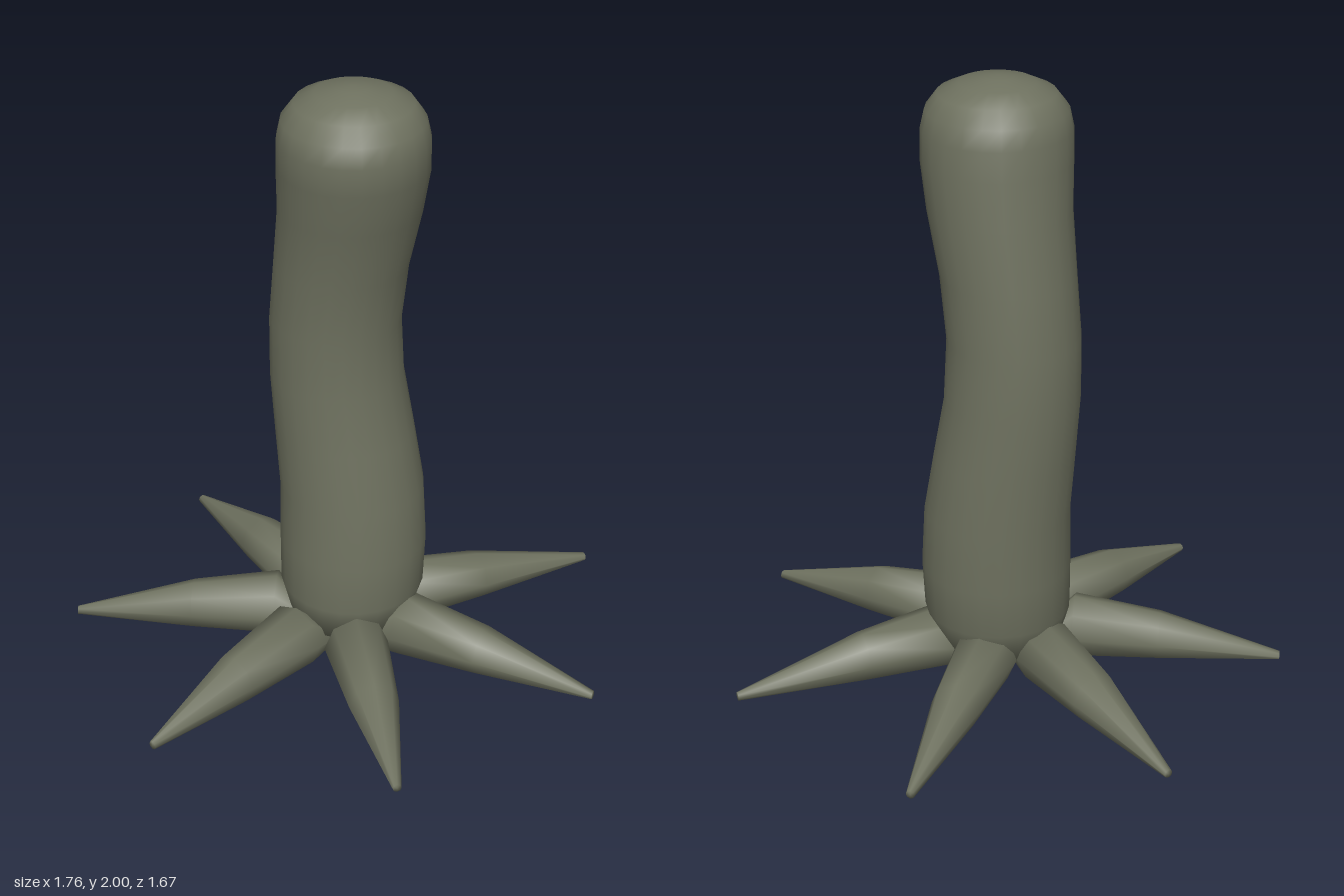
import * as THREE from 'three';

// Closed smooth skin from rings of equal point count, ends fanned to a centre point
function skin(rings, start, end) {
  const n = rings[0].length, pos = [], idx = [];
  for (const ring of rings) for (const p of ring) pos.push(p.x, p.y, p.z);
  for (let i = 0; i < rings.length - 1; i++) {
    for (let j = 0; j < n; j++) {
      const a = i * n + j, b = i * n + (j + 1) % n;
      idx.push(a, a + n, b, b, a + n, b + n);
    }
  }
  const s = rings.length * n, e = s + 1, last = (rings.length - 1) * n;
  pos.push(start.x, start.y, start.z, end.x, end.y, end.z);
  for (let j = 0; j < n; j++) {
    const k = (j + 1) % n;
    idx.push(s, j, k, last + j, e, last + k);
  }
  const g = new THREE.BufferGeometry();
  g.setAttribute('position', new THREE.Float32BufferAttribute(pos, 3));
  g.setIndex(idx);
  g.computeVertexNormals();
  return g;
}

// Trunk sections: height, left, right, back, front
const SECTIONS = [
  [0.12, -0.17, 0.23, -0.23, 0.17],
  [0.24, -0.2, 0.27, -0.275, 0.197],
  [0.4, -0.2, 0.278, -0.284, 0.19],
  [0.6, -0.197, 0.268, -0.288, 0.173],
  [0.8, -0.21, 0.236, -0.29, 0.146],
  [1.0, -0.222, 0.202, -0.294, 0.125],
  [1.2, -0.221, 0.192, -0.29, 0.122],
  [1.4, -0.207, 0.21, -0.273, 0.145],
  [1.6, -0.195, 0.245, -0.252, 0.19],
  [1.75, -0.199, 0.262, -0.234, 0.234],
  [1.84, -0.198, 0.26, -0.224, 0.238],
  [1.9, -0.185, 0.246, -0.208, 0.224],
  [1.95, -0.147, 0.21, -0.172, 0.182],
  [1.98, -0.085, 0.145, -0.108, 0.118],
  [1.995, -0.02, 0.075, -0.04, 0.05],
];

function trunkGeometry() {
  const sides = 24;
  const rings = SECTIONS.map(([y, l, r, b, f]) => Array.from({ length: sides }, (_, j) => {
    const a = j / sides * Math.PI * 2;
    return new THREE.Vector3((l + r) / 2 + Math.cos(a) * (r - l) / 2, y, (b + f) / 2 + Math.sin(a) * (f - b) / 2);
  }));
  return skin(rings, new THREE.Vector3(0.03, 0.1, -0.03), new THREE.Vector3(0.028, 2, 0.005));
}

// Root spike along +z, swelling from the centre and tapering to a blunt tip
function rootGeometry(length) {
  const sides = 8;
  // distance, centre height, radius
  const profile = [[0.02, 0.02, 0.009], [0.22, 0.135, 0.105], [0.5, 0.115, 0.08], [length, 0.062, 0.014]];
  const rings = profile.map(([z, y, radius]) => Array.from({ length: sides }, (_, j) => {
    const a = j / sides * Math.PI * 2;
    return new THREE.Vector3(Math.sin(a) * radius, y + Math.cos(a) * radius, z);
  }));
  return skin(rings, new THREE.Vector3(0, 0, 0), new THREE.Vector3(0, 0.062, length));
}

// Root tips on the ground plane: x, z
const TIPS = [[0.08, 0.83], [0.755, 0.46], [0.875, -0.285], [0.34, -0.83],
  [-0.435, -0.775], [-0.88, -0.155], [-0.65, 0.56]];

export function createModel() {
  const model = new THREE.Group();
  const bark = new THREE.MeshStandardMaterial({ color: 0x6e715f });
  bark.name = 'grey green bark';

  const trunk = new THREE.Mesh(trunkGeometry(), bark);
  trunk.name = 'trunk';
  model.add(trunk);

  const roots = new THREE.Group();
  roots.name = 'roots';
  TIPS.forEach(([x, z], i) => {
    const root = new THREE.Mesh(rootGeometry(Math.hypot(x, z)), bark);
    root.name = 'root' + (i + 1);
    root.rotation.y = Math.atan2(x, z);
    roots.add(root);
  });
  model.add(roots);
  return model;
}
